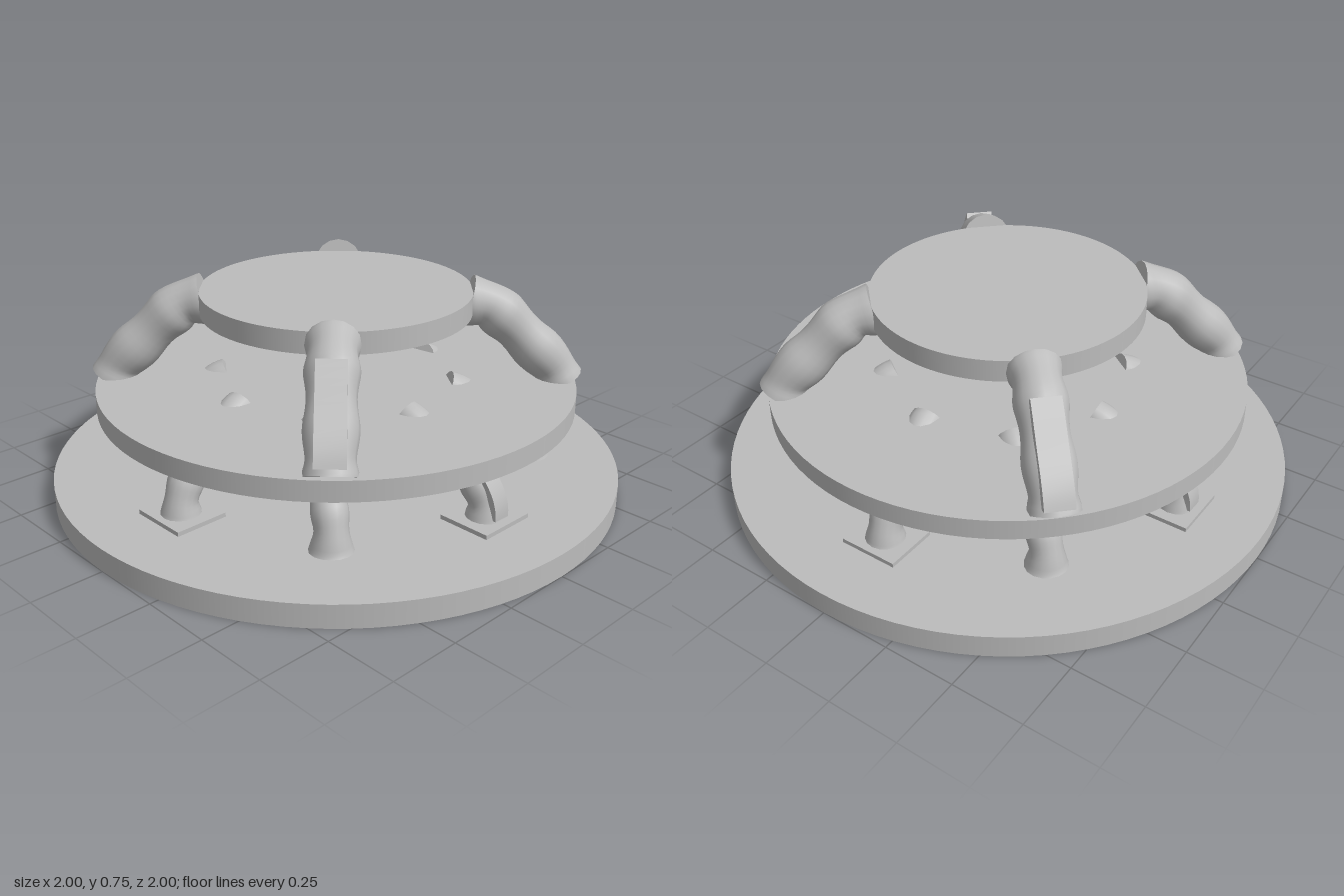
import * as THREE from 'three';
import { toCreasedNormals } from 'three/addons/utils/BufferGeometryUtils.js';

const grey = new THREE.MeshStandardMaterial({ color: 0xbcbcbc });
grey.name = 'plain grey';

// Sweeps a cross-section (sideways, outward) along part of a curve, capping both ends.
function sweep(curve, section, t0, t1, steps, crease) {
  const pos = [], idx = [], n = section(0).length;
  const X = new THREE.Vector3(1, 0, 0);
  for (let i = 0; i <= steps; i++) {
    const t = t0 + (t1 - t0) * i / steps;
    const p = curve.getPoint(t), T = curve.getTangent(t);
    const N = new THREE.Vector3().crossVectors(X, T).normalize();
    const S = new THREE.Vector3().crossVectors(T, N);
    for (const [s, o] of section(t)) {
      const v = p.clone().addScaledVector(S, s).addScaledVector(N, o);
      pos.push(v.x, v.y, v.z);
    }
  }
  for (let i = 0; i < steps; i++) {
    for (let j = 0; j < n; j++) {
      const a = i * n + j, b = i * n + (j + 1) % n, c = a + n, d = b + n;
      idx.push(a, c, b, b, c, d);
    }
  }
  const last = steps * n;
  for (let j = 1; j < n - 1; j++) {
    idx.push(0, j, j + 1, last, last + j + 1, last + j);
  }
  const g = new THREE.BufferGeometry();
  g.setAttribute('position', new THREE.Float32BufferAttribute(pos, 3));
  g.setIndex(idx);
  return toCreasedNormals(g, crease);
}

// Round section with a radius that varies along the limb
const round = (radius) => (t) => Array.from({ length: 16 }, (_, j) => {
  const a = j / 16 * Math.PI * 2, r = radius(t);
  return [Math.cos(a) * r, Math.sin(a) * r];
});

// Flat strap section lying on the outer side of a limb
const strap = (half, height) => () =>
  [[half, 0.02], [half, height], [-half, height], [-half, 0.02]];

const path = (pts) => new THREE.CatmullRomCurve3(pts.map((p) => new THREE.Vector3(...p)));

function part(name, geometry, parent) {
  const m = new THREE.Mesh(geometry, grey);
  m.name = name;
  parent.add(m);
  return m;
}

export function createModel() {
  const model = new THREE.Group();
  model.name = 'tieredStand';

  // Three round tiers: radius, bottom, top
  const tiers = { baseTier: [1, 0, 0.08], middleTier: [0.835, 0.315, 0.385], topTier: [0.47, 0.63, 0.705] };
  for (const [name, [r, y0, y1]] of Object.entries(tiers)) {
    part(name, new THREE.CylinderGeometry(r, r, y1 - y0, 96), model).position.y = (y0 + y1) / 2;
  }

  // Eight curved lower legs, leaning inward and slightly sideways
  const lowerPath = path([
    [0, 0.078, 0.695], [0, 0.14, 0.69], [-0.008, 0.205, 0.655],
    [-0.025, 0.272, 0.575], [-0.042, 0.32, 0.475], [-0.055, 0.362, 0.385],
  ]);
  const lowerRadius = (t) => 0.057 + 0.016 * Math.exp(-t * 14) + 0.003 * Math.sin(t * 22);
  const lowerLeg = sweep(lowerPath, round(lowerRadius), 0, 1, 24, 0.9);
  const lowerStrap = sweep(lowerPath, strap(0.032, 0.066), 0.08, 0.8, 14, 0.5);
  for (let i = 0; i < 8; i++) {
    const leg = new THREE.Group();
    leg.name = 'lowerLegAssembly';
    leg.rotation.y = i * Math.PI / 4;
    part('lowerLeg', lowerLeg, leg);
    if (i % 2 === 0) {
      part('footPlate', new THREE.BoxGeometry(0.21, 0.016, 0.19), leg).position.set(0, 0.087, 0.69);
    }
    if (i % 4 === 0) part('lowerStrap', lowerStrap, leg);
    model.add(leg);
  }

  // Four thick upper legs on the diagonals, two of them strapped
  const upperPath = path([
    [0, 0.372, 0.785], [0, 0.43, 0.755], [0, 0.51, 0.675], [0, 0.595, 0.59],
    [0, 0.645, 0.525], [0, 0.662, 0.455],
  ]);
  const upperRadius = (t) => 0.08 + 0.005 * Math.cos(t * 19) + 0.004 * t;
  const upperLeg = sweep(upperPath, round(upperRadius), 0, 1, 24, 0.9);
  const upperStrap = sweep(upperPath, strap(0.048, 0.098), 0.08, 0.65, 10, 0.5);
  for (let i = 0; i < 4; i++) {
    const leg = new THREE.Group();
    leg.name = 'upperLegAssembly';
    leg.rotation.y = Math.PI / 4 + i * Math.PI / 2;
    part('upperLeg', upperLeg, leg);
    if (i % 2 === 1) part('upperStrap', upperStrap, leg);
    model.add(leg);
  }
  return model;
}
